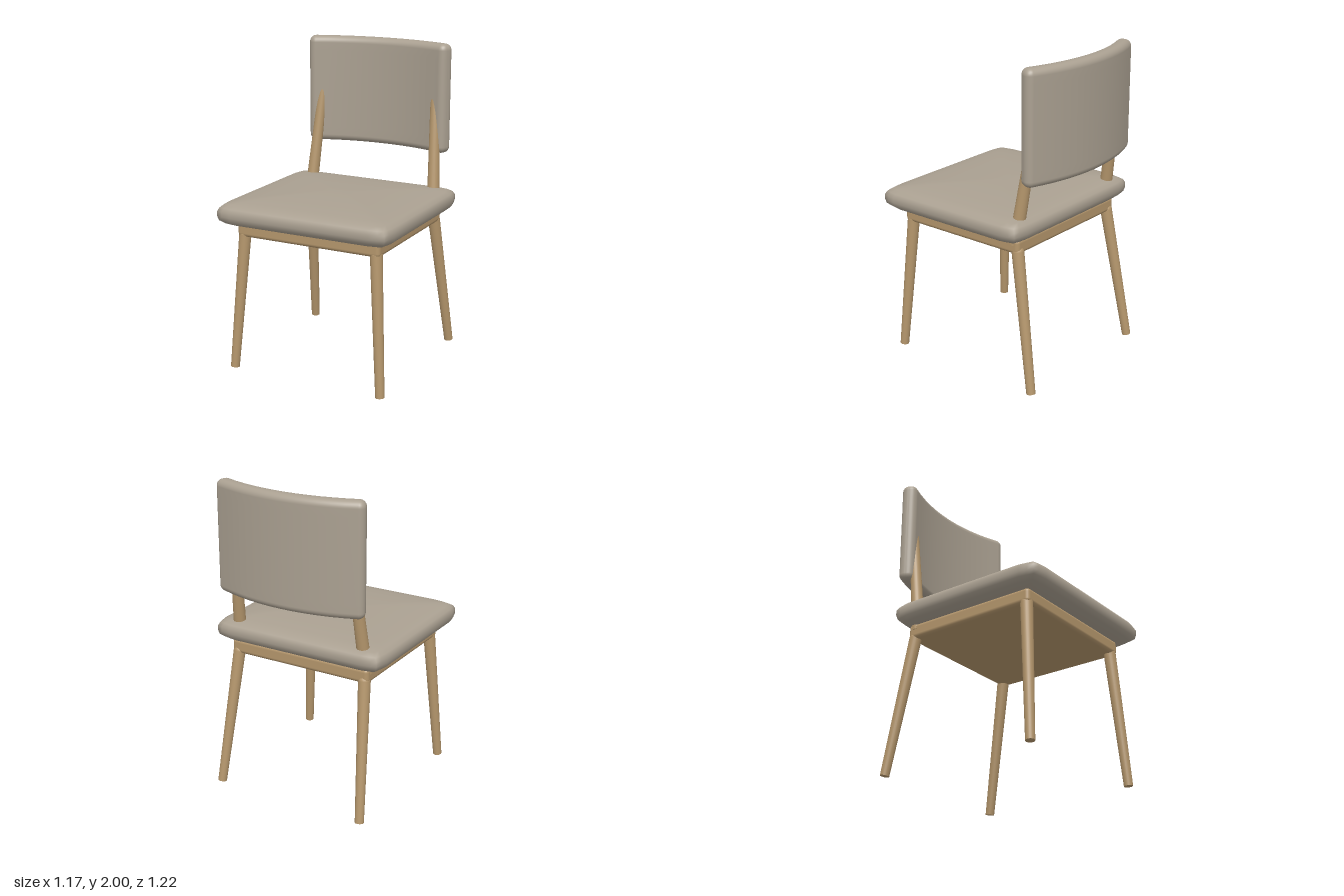
import * as THREE from 'three';
import { mergeVertices } from 'three/addons/utils/BufferGeometryUtils.js';
import { RoundedBoxGeometry } from 'three/addons/geometries/RoundedBoxGeometry.js';

const fabric = new THREE.MeshStandardMaterial({ color: 0xaaa091 });
fabric.name = 'fabric';
const wood = new THREE.MeshStandardMaterial({ color: 0xb4966c });
wood.name = 'wood';

function add(group, name, geometry, material) {
  const mesh = new THREE.Mesh(geometry, material);
  mesh.name = name;
  group.add(mesh);
  return mesh;
}

// Tapered round bar between two points
function bar(group, name, a, b, ra, rb) {
  const from = new THREE.Vector3(...a), to = new THREE.Vector3(...b);
  const dir = to.clone().sub(from);
  const mesh = add(group, name, new THREE.CylinderGeometry(rb, ra, dir.length(), 24), wood);
  mesh.position.copy(from).add(to).multiplyScalar(0.5);
  mesh.quaternion.setFromUnitVectors(new THREE.Vector3(0, 1, 0), dir.normalize());
}

// Box with round edges and enough segments to be bent
function softBox(w, h, d, r, n = 20) {
  const box = new THREE.BoxGeometry(2, 2, 2, n, n, n);
  box.deleteAttribute('uv');
  box.deleteAttribute('normal');
  const geo = mergeVertices(box);
  const inner = new THREE.Vector3(w / 2 - r, h / 2 - r, d / 2 - r);
  const p = new THREE.Vector3(), core = new THREE.Vector3(), flat = 0.6;
  const pos = geo.attributes.position;
  for (let i = 0; i < pos.count; i++) {
    p.fromBufferAttribute(pos, i);
    for (const k of ['x', 'y', 'z']) {
      const u = Math.abs(p[k]), s = Math.sign(p[k]);
      core[k] = s * inner[k] * Math.min(1, u / flat);
      p[k] = u > flat ? s * Math.tan((u - flat) / (1 - flat) * Math.PI / 4) : 0;
    }
    p.normalize().multiplyScalar(r).add(core);
    pos.setXYZ(i, p.x, p.y, p.z);
  }
  return geo;
}

// Upholstered back: a soft slab wrapped round a vertical axis
function backrestGeometry() {
  const geo = softBox(1.02, 0.7, 0.1, 0.042);
  const pos = geo.attributes.position, R = 1.246, axisZ = 0.686;
  for (let i = 0; i < pos.count; i++) {
    const angle = pos.getX(i) / R, radius = R - pos.getZ(i);
    pos.setXYZ(i, radius * Math.sin(angle), pos.getY(i) + 1.65, axisZ - radius * Math.cos(angle));
  }
  geo.computeVertexNormals();
  return geo;
}

// Domed cushion: one plan outline, inset ring by ring
function seatGeometry() {
  const hx = 0.587, hz = 0.54, midZ = 0.07;
  const quarter = [[hx, 0.2], [hx, 0.43], [0.577, 0.48], [0.567, 0.522], [0.53, 0.531], [0.47, hz], [0.2, hz]];
  const mirror = (list, sx, sz) => list.map(([x, z]) => [x * sx, z * sz]);
  const back = quarter.slice().reverse();
  const outline = [...quarter, ...mirror(back, -1, 1), ...mirror(quarter, -1, -1), ...mirror(back, 1, -1)];
  const rings = [[0.3, 0.95], [0.1, 0.95], [0.035, 0.96], [0.008, 0.982], [0, 1.01], [0, 1.04],
    [0.012, 1.063], [0.04, 1.081], [0.1, 1.091], [0.2, 1.102], [0.35, 1.11], [0.48, 1.114]];
  const n = outline.length, verts = [], index = [];
  for (const [inset, y] of rings) {
    for (const [x, z] of outline) verts.push(x * (1 - inset / hx), y, midZ + z * (1 - inset / hz));
  }
  const low = rings.length * n, high = low + 1, last = low - n;
  verts.push(0, 0.95, midZ, 0, 1.115, midZ);
  for (let j = 0; j < n; j++) {
    const k = (j + 1) % n;
    for (let r = 0; r < rings.length - 1; r++) {
      const a = r * n + j, b = r * n + k;
      index.push(a, a + n, b, b, a + n, b + n);
    }
    index.push(low, j, k, high, last + k, last + j);
  }
  const geo = new THREE.BufferGeometry();
  geo.setAttribute('position', new THREE.Float32BufferAttribute(verts, 3));
  geo.setIndex(index);
  geo.computeVertexNormals();
  return geo;
}

export function createModel() {
  const chair = new THREE.Group();
  chair.name = 'chair';

  add(chair, 'seatCushion', seatGeometry(), fabric);
  add(chair, 'backrest', backrestGeometry(), fabric);

  // Wooden base under the cushion
  const base = add(chair, 'seatFrame', new RoundedBoxGeometry(0.976, 0.095, 0.91, 4, 0.025), wood);
  base.position.set(0, 0.912, 0.04);

  for (const [side, s] of [['left', 1], ['right', -1]]) {
    // Splayed legs with rounded tops
    for (const [end, topZ, footZ] of [['Front', 0.458, 0.518], ['Back', -0.387, -0.537]]) {
      bar(chair, side + end + 'Leg', [s * 0.512, 0.004, footZ], [s * 0.452, 0.875, topZ], 0.028, 0.038);
      const cap = add(chair, side + end + 'LegTop', new THREE.SphereGeometry(0.038, 20, 14), wood);
      cap.position.set(s * 0.452, 0.875, topZ);
    }
    // Posts leaning back into the backrest
    bar(chair, side + 'BackPost', [s * 0.451, 0.92, -0.367], [s * 0.406, 1.66, -0.472], 0.041, 0.03);
  }
  return chair;
}
